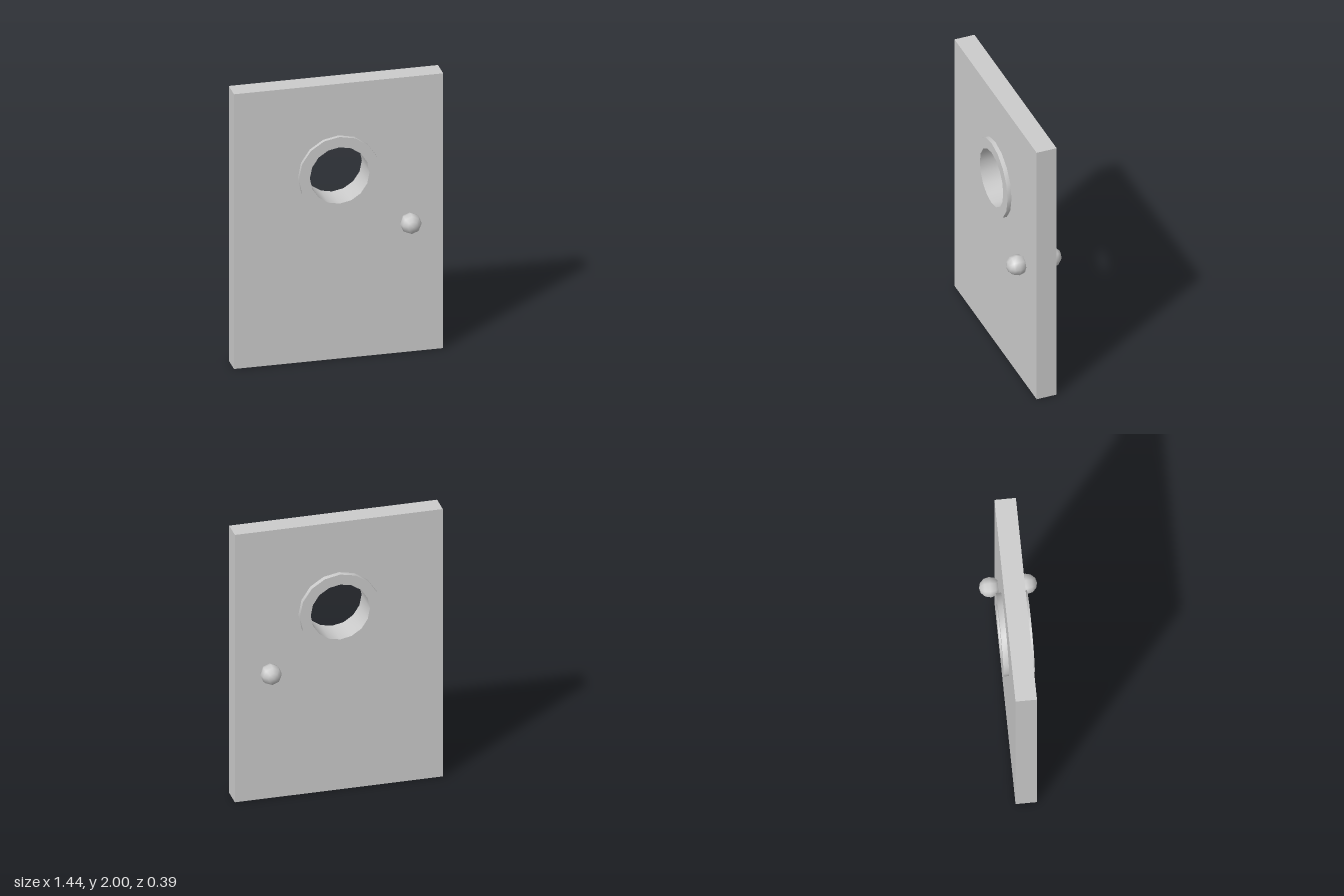
import * as THREE from 'three';
import { toCreasedNormals } from 'three/addons/utils/BufferGeometryUtils.js';

const HALF_W = 0.72, HEIGHT = 2, FRONT = 0.076, BACK = -0.068;
const WINDOW_Y = 1.345, RIM = 0.28, HOLE = 0.205, RIM_Z = 0.105;

export function createModel() {
  const root = new THREE.Group();
  root.name = 'door';
  const material = new THREE.MeshStandardMaterial({ color: 0xcccccc, side: THREE.DoubleSide });
  const add = (name, geometry, x, y, z, parent = root) => {
    const mesh = new THREE.Mesh(geometry, material);
    mesh.name = name;
    mesh.position.set(x, y, z);
    parent.add(mesh);
    return mesh;
  };

  // Hollow door slab: two panels with a round cut-out, open at the bottom
  const slab = new THREE.Group();
  slab.name = 'slab';
  root.add(slab);
  const outline = new THREE.Shape([
    [-HALF_W, 0], [HALF_W, 0], [HALF_W, HEIGHT], [-HALF_W, HEIGHT],
  ].map(([x, y]) => new THREE.Vector2(x, y)));
  const cutout = [];
  for (let i = 0; i < 16; i++) {
    const a = (i / 16) * Math.PI * 2;
    cutout.push(new THREE.Vector2(RIM * Math.cos(a), WINDOW_Y + RIM * Math.sin(a)));
  }
  outline.holes.push(new THREE.Path(cutout));
  const panel = new THREE.ShapeGeometry(outline);
  add('frontPanel', panel, 0, 0, FRONT, slab);
  add('backPanel', panel, 0, 0, BACK, slab).rotation.y = Math.PI;

  // Side and top edges
  const depth = FRONT - BACK, midZ = (FRONT + BACK) / 2;
  for (const [name, s] of [['leftEdge', 1], ['rightEdge', -1]]) {
    const edge = new THREE.PlaneGeometry(depth, HEIGHT).rotateY(s * Math.PI / 2);
    add(name, edge, s * HALF_W, HEIGHT / 2, midZ, slab);
  }
  add('topEdge', new THREE.PlaneGeometry(2 * HALF_W, depth).rotateX(-Math.PI / 2), 0, HEIGHT, midZ, slab);

  // Porthole rim on both faces, joined by the tunnel through the door
  const profile = [
    [RIM, FRONT], [RIM, RIM_Z], [HOLE, RIM_Z],
    [HOLE, -RIM_Z], [RIM, -RIM_Z], [RIM, BACK],
  ].map(([r, z]) => new THREE.Vector2(r, z));
  const rim = new THREE.LatheGeometry(profile, 16).rotateX(Math.PI / 2);
  add('windowRim', toCreasedNormals(rim, 0.6), 0, WINDOW_Y, 0);

  // Round knobs
  const knob = new THREE.SphereGeometry(0.073, 8, 6).rotateX(Math.PI / 2);
  add('frontKnob', knob, 0.485, 0.953, 0.122);
  add('backKnob', knob, 0.485, 0.953, -0.122);

  return root;
}
